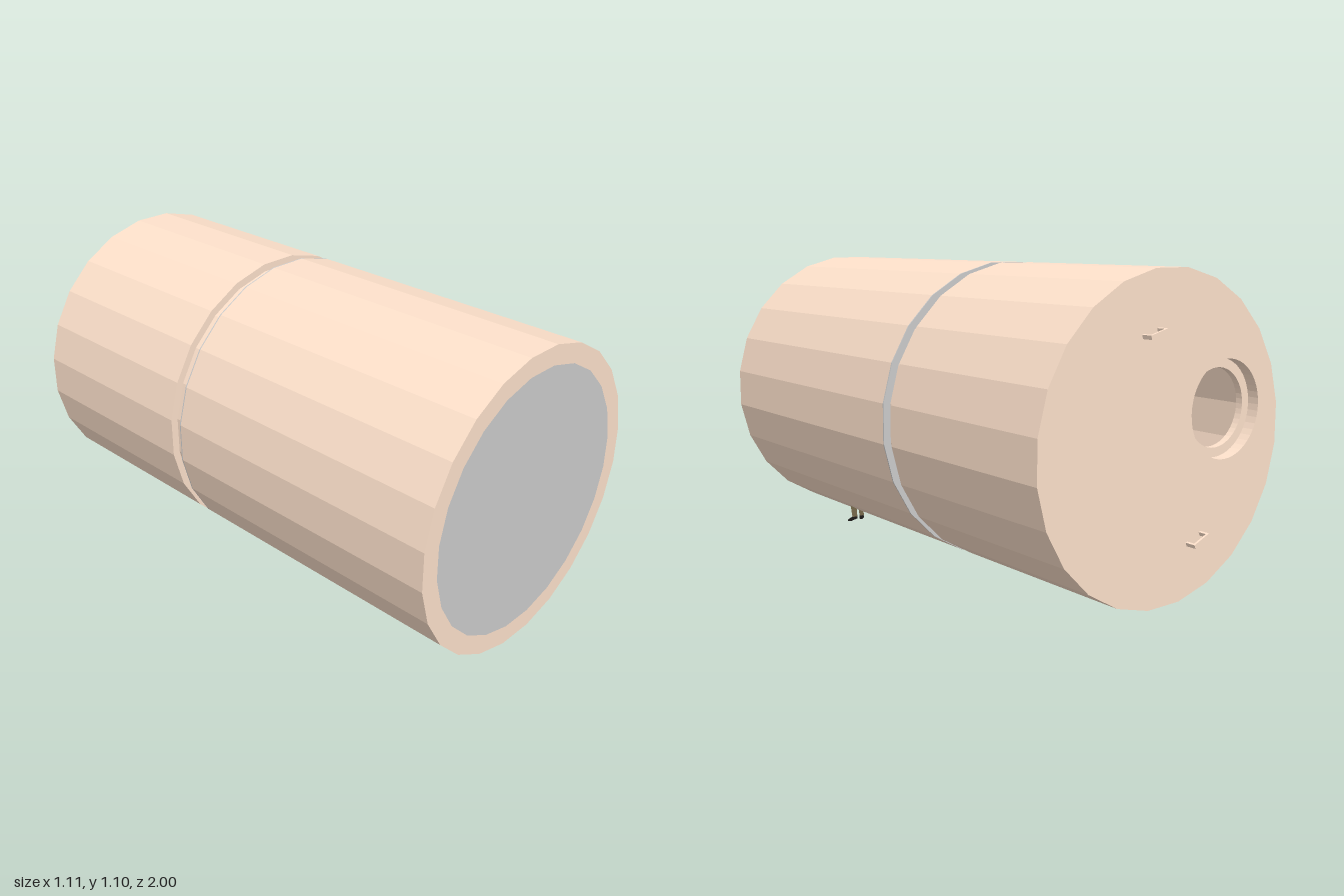
import * as THREE from 'three';

const SIDES = 24;
const CENTRE_Y = 0.55;
const mat = (color, side = THREE.FrontSide) =>
  new THREE.MeshStandardMaterial({ color, side, flatShading: true });
const tan = mat(0xfde1cb);
const grey = mat(0xcccccc);

// 24-sided outline with a flat on top, sized by the distance to its flats
function polygon(apothem, Type = THREE.Shape) {
  const r = apothem / Math.cos(Math.PI / SIDES);
  const pts = [];
  for (let i = 0; i < SIDES; i++) {
    const a = ((i + 0.5) / SIDES) * Math.PI * 2;
    pts.push(new THREE.Vector2(r * Math.cos(a), r * Math.sin(a)));
  }
  return new Type(pts);
}

function circleHole(x, y, r) {
  const path = new THREE.Path();
  path.absarc(x, y, r, 0, Math.PI * 2, true);
  return path;
}

// Slab or tube running from z0 to z1
function slab(name, outer, holes, z0, z1, material) {
  const shape = polygon(outer);
  shape.holes.push(...holes);
  const geo = new THREE.ExtrudeGeometry(shape, { depth: z1 - z0, bevelEnabled: false, curveSegments: 24 });
  geo.translate(0, 0, z0);
  const mesh = new THREE.Mesh(geo, material);
  mesh.name = name;
  return mesh;
}

const tube = (name, outer, inner, z0, z1, material) =>
  slab(name, outer, [polygon(inner, THREE.Path)], z0, z1, material);

// Staple-shaped grip on the rear wall, set across the radius
function grip(x, y) {
  const g = new THREE.Group();
  g.name = 'rearGrip';
  const add = (w, d, px, pz) => {
    const m = new THREE.Mesh(new THREE.BoxGeometry(w, 0.014, d), tan);
    m.position.set(px, 0, pz);
    g.add(m);
  };
  add(0.076, 0.008, 0, -0.036);
  for (const s of [-1, 1]) add(0.008, 0.04, s * 0.034, -0.02);
  g.position.set(x, y, -0.955);
  g.rotation.z = Math.atan2(-x, y);
  return g;
}

// Flat cut-out figure standing partly inside the shell
function cutout() {
  const g = new THREE.Group();
  g.name = 'scaleFigure';
  const add = (name, color, pts, z = 0) => {
    const shape = new THREE.Shape(pts.map(p => new THREE.Vector2(...p)));
    const m = new THREE.Mesh(new THREE.ShapeGeometry(shape), mat(color, THREE.DoubleSide));
    m.name = name;
    m.position.z = z;
    g.add(m);
  };
  add('leftTrouserLeg', 0x776a4c, [[0.228, 0.016], [0.252, 0.016], [0.262, 0.08], [0.264, 0.15], [0.228, 0.15], [0.232, 0.07]]);
  add('rightTrouserLeg', 0x776a4c, [[0.196, 0.016], [0.216, 0.016], [0.226, 0.07], [0.232, 0.15], [0.2, 0.15], [0.196, 0.07]]);
  add('rightShoe', 0x1c1a18, [[0.194, 0.006], [0.202, 0], [0.214, 0.001], [0.218, 0.008], [0.215, 0.022], [0.197, 0.022]], 0.001);
  add('leftShoe', 0x1c1a18, [[0.226, 0.006], [0.24, 0.004], [0.258, 0], [0.274, 0.003], [0.273, 0.01], [0.262, 0.014], [0.251, 0.02], [0.227, 0.021]], 0.001);
  add('torso', 0x8a8f96, [[0.2, 0.148], [0.264, 0.148], [0.268, 0.235], [0.244, 0.247], [0.222, 0.247], [0.196, 0.235]]);
  const head = new THREE.Mesh(new THREE.CircleGeometry(0.018, 12), mat(0xd9b08c, THREE.DoubleSide));
  head.name = 'head';
  head.position.set(0.233, 0.266, 0);
  g.add(head);
  g.position.z = 0.578;
  return g;
}

export function createModel() {
  const model = new THREE.Group();
  const shell = new THREE.Group();
  shell.name = 'shell';

  // Front section with its bare rear rim and the panel closing the front
  shell.add(tube('frontSection', 0.55, 0.48, -0.137, 0.997, tan));
  shell.add(tube('frontSectionRearRim', 0.55, 0.48, -0.142, -0.137, grey));
  shell.add(slab('frontPanel', 0.48, [], 0.98, 0.997, grey));

  // Recessed band between the sections
  shell.add(tube('jointBand', 0.522, 0.51, -0.19, -0.142, tan));

  // Rear section, closed by a wall with a stepped porthole
  shell.add(tube('rearSection', 0.55, 0.48, -0.90, -0.19, tan));
  const hx = -0.28, hy = 0.075;
  shell.add(slab('rearWall', 0.55, [circleHole(hx, hy, 0.17)], -0.957, -0.915, tan));
  shell.add(slab('portholeLip', 0.55, [circleHole(hx, hy, 0.137)], -0.915, -0.89, tan));

  // Grips on the rear wall
  shell.add(grip(0.09, 0.35), grip(-0.138, -0.346));

  // The shell sits very slightly turned
  shell.position.y = CENTRE_Y;
  shell.rotation.y = -0.007;
  model.add(shell, cutout());
  return model;
}
